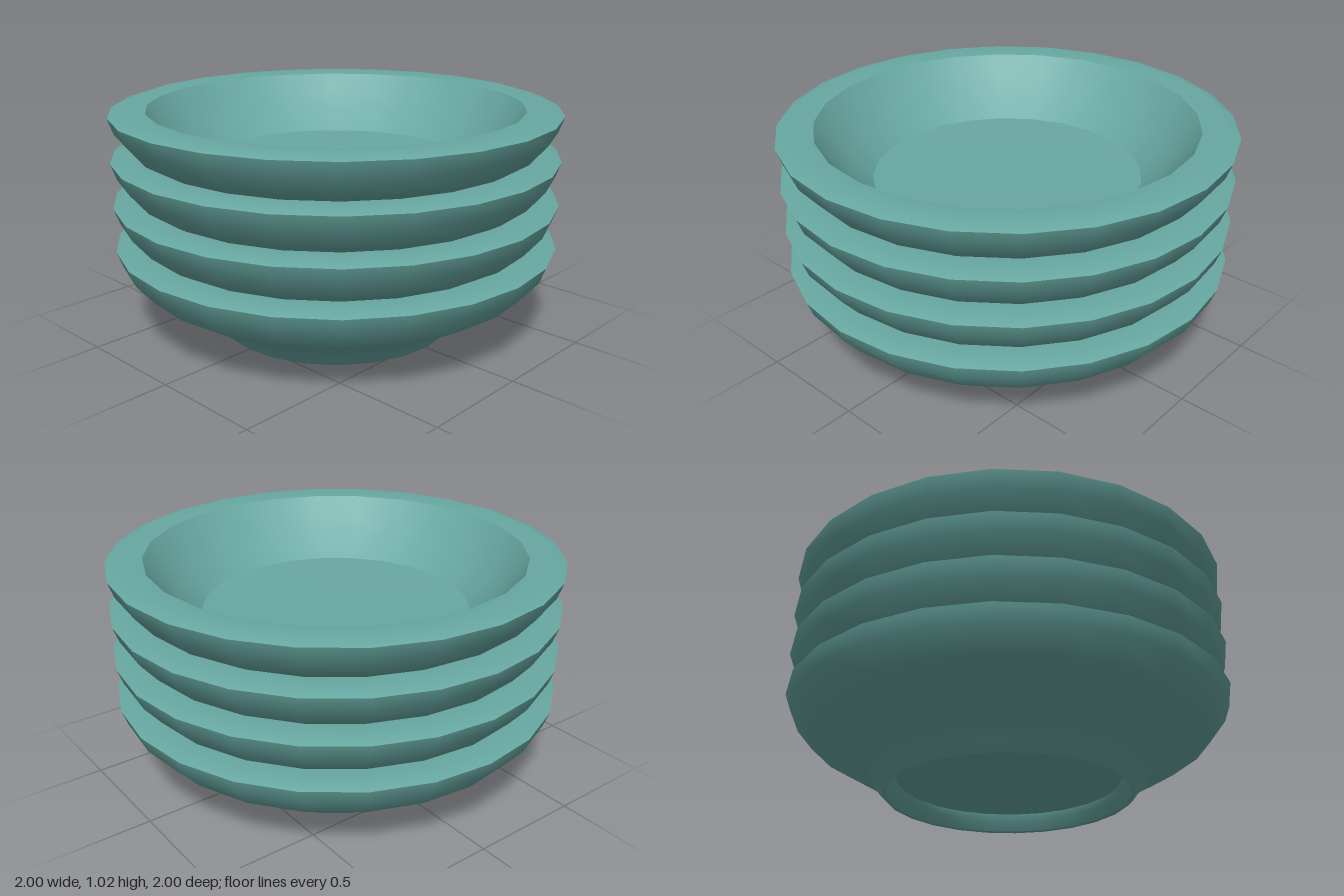
import * as THREE from 'three';
import { mergeGeometries } from 'three/addons/utils/BufferGeometryUtils.js';

const SIDES = 24;
const BOWLS = 4;
const STEP = 0.198;

// Each run is smooth in itself; the joints between runs stay sharp.
const RUNS = [
  [[0, 0.08], [0.5, 0.08]],                                        // recessed underside
  [[0.5, 0.08], [0.51, 0.05], [0.54, 0.005]],                      // inside of foot ring
  [[0.54, 0.005], [0.55, 0]],                                      // foot edge
  [[0.55, 0], [0.57, 0.02], [0.6, 0.06], [0.64, 0.1],
    [0.77, 0.173], [0.9, 0.25], [0.975, 0.34], [1, 0.41]],         // outer wall
  [[1, 0.41], [0.94, 0.43], [0.84, 0.42]],                         // rim
  [[0.84, 0.42], [0.78, 0.34], [0.7, 0.25], [0.6, 0.165]],         // inner wall
  [[0.6, 0.165], [0.3, 0.16], [0, 0.16]],                          // floor
];

function bowlGeometry() {
  return mergeGeometries(RUNS.map((run) =>
    new THREE.LatheGeometry(run.map(([r, y]) => new THREE.Vector2(r, y)), SIDES)));
}

export function createModel() {
  const group = new THREE.Group();
  group.name = 'bowlStack';
  const material = new THREE.MeshStandardMaterial({ color: 0x68a8a2 });
  const geometry = bowlGeometry();

  // Identical bowls nested in one another
  for (let i = 0; i < BOWLS; i++) {
    const bowl = new THREE.Mesh(geometry, material);
    bowl.name = `bowl${i + 1}`;
    bowl.position.y = i * STEP;
    group.add(bowl);
  }
  return group;
}
